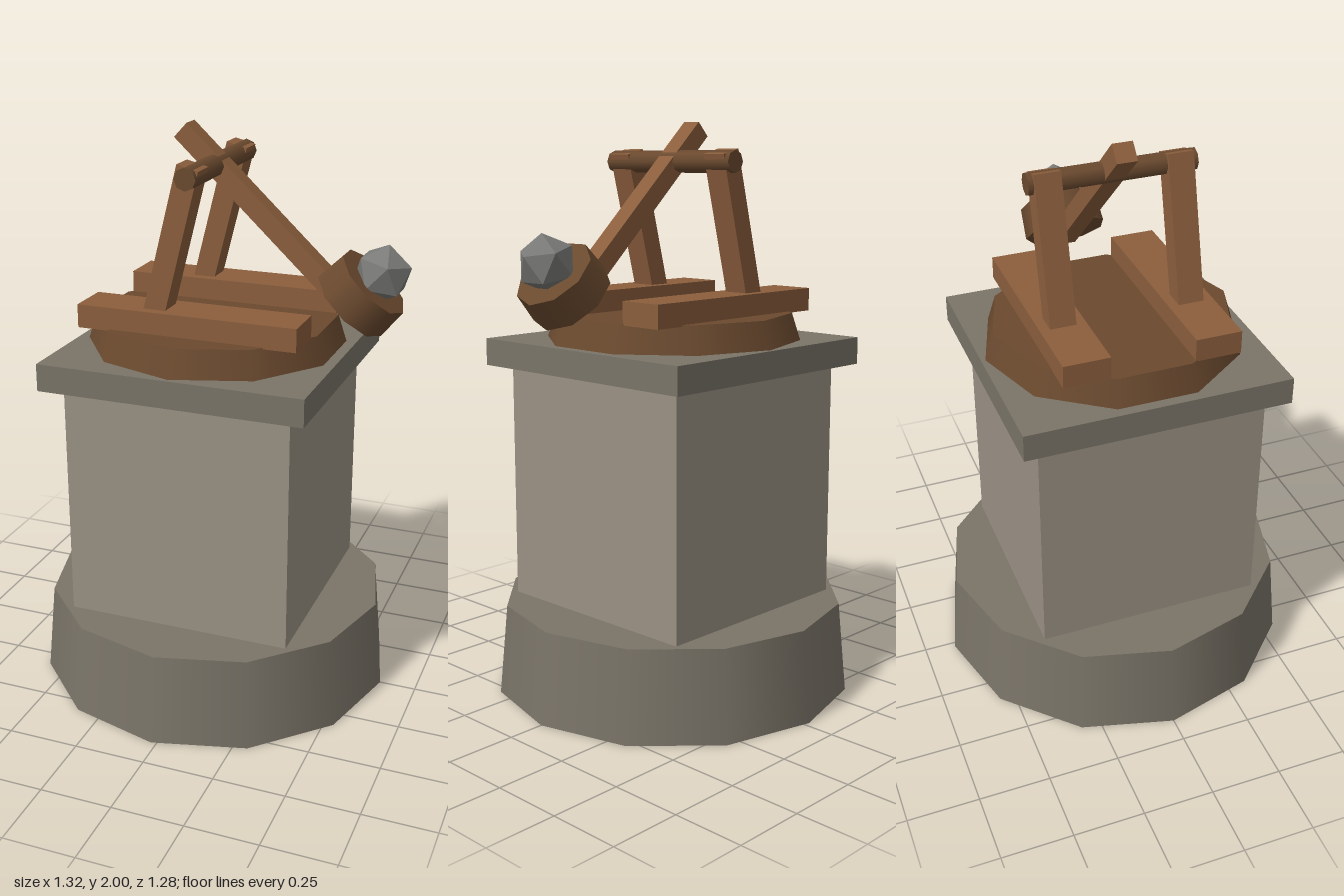
import * as THREE from 'three';

const material = (color, flatShading = false) => new THREE.MeshStandardMaterial({ color, flatShading });
const darkStone = material(0x7a7468);
const lightStone = material(0x9a9184);
const lightWood = material(0x8b5e3c);
const darkWood = material(0x6b4a2f);
const rock = material(0x7a7a78, true);

const CX = -0.02;         // axis of the tower
const ARM_TILT = -0.75;   // throwing arm, bucket and boulder share this tilt
const POST_TILT = -0.25;

export function createModel() {
  const group = new THREE.Group();

  const add = (name, geometry, mat, x, y, z = 0, tilt = 0) => {
    const mesh = new THREE.Mesh(geometry, mat);
    mesh.name = name;
    mesh.position.set(x, y, z);
    mesh.rotation.z = tilt;
    group.add(mesh);
    return mesh;
  };
  const box = (w, h, d) => new THREE.BoxGeometry(w, h, d);

  // Stone tower
  add('base', new THREE.CylinderGeometry(0.61, 0.64, 0.32, 12), darkStone, CX, 0.16);
  add('shaft', box(0.8, 0.84, 0.8), lightStone, CX, 0.74);
  add('capSlab', box(0.93, 0.095, 0.93), darkStone, CX, 1.2075);

  // Wooden turntable
  add('turntable', new THREE.CylinderGeometry(0.42, 0.45, 0.095, 10), darkWood, CX, 1.3025);

  // Rails and leaning posts on both sides
  for (const [side, s] of [['left', -1], ['right', 1]]) {
    add(side + 'Rail', box(0.77, 0.08, 0.16), lightWood, CX, 1.385, s * 0.225);
    add(side + 'Post', box(0.076, 0.53, 0.09), lightWood, -0.083, 1.645, s * 0.225, POST_TILT);
  }

  // Axle between the posts
  const axle = new THREE.CylinderGeometry(0.038, 0.038, 0.575, 8).rotateX(Math.PI / 2);
  add('axle', axle, darkWood, CX, 1.868);

  // Throwing arm with its bucket and boulder
  add('throwingArm', box(0.835, 0.067, 0.07), lightWood, 0.168, 1.694, 0, ARM_TILT);
  const bucket = new THREE.CylinderGeometry(0.14, 0.147, 0.112, 9, 1, false, Math.PI / 2);
  add('bucket', bucket, darkWood, 0.494, 1.475, 0, ARM_TILT);
  add('boulder', new THREE.IcosahedronGeometry(0.1, 0), rock, 0.56, 1.548, 0, ARM_TILT);

  return group;
}
